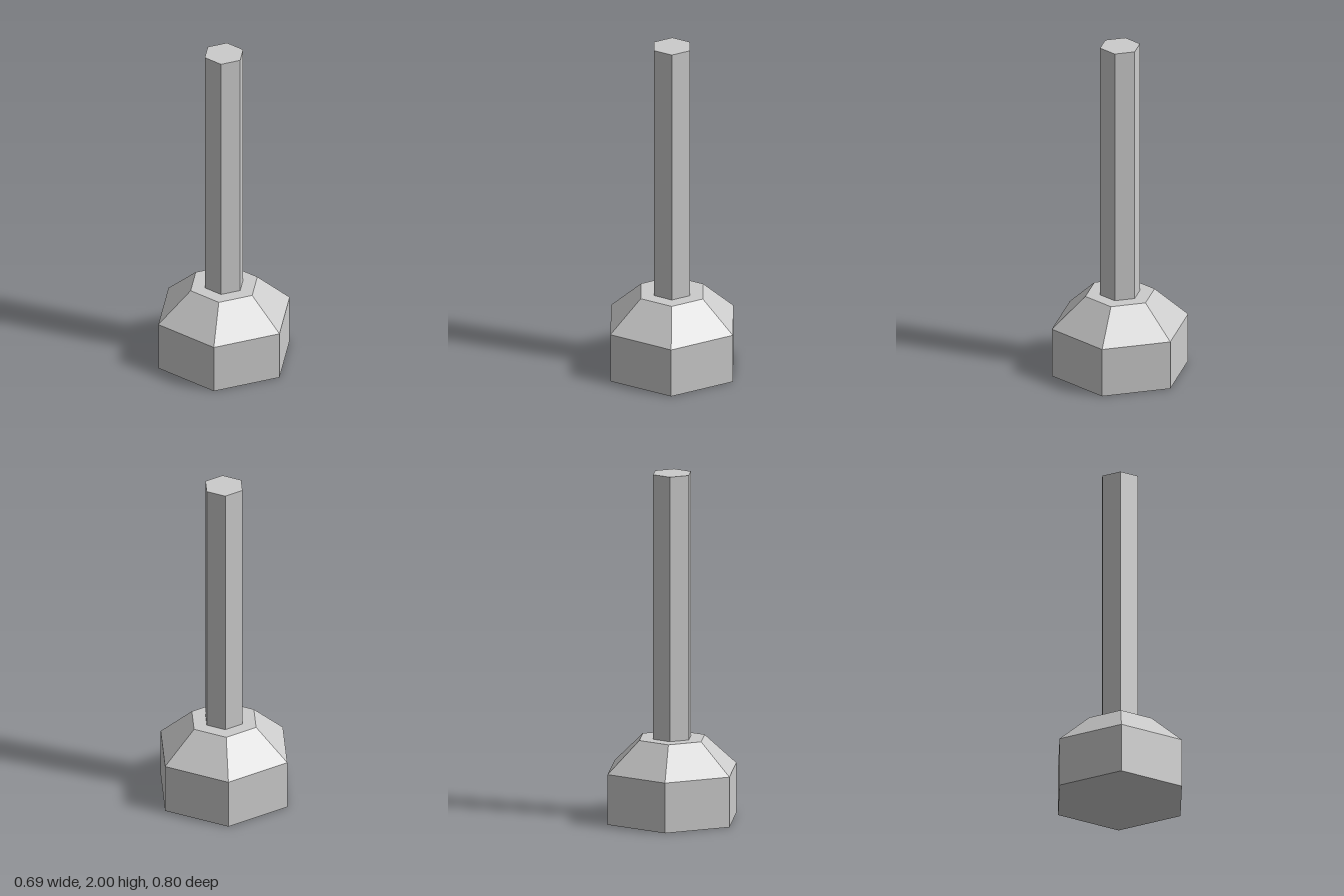
import * as THREE from 'three';

const SIDES = 6;
const SHAFT_RADIUS = 0.117;
const BASE_HEIGHT = 0.29;
const SHOULDER_TOP = 0.47;

export function createModel() {
  const group = new THREE.Group();
  const material = new THREE.MeshStandardMaterial({ color: 0xcccccc, flatShading: true });

  // Six-sided solid turned from an [radius, height] profile, corners on the z axis
  const addHexPart = (name, profile) => {
    const points = profile.map(([r, y]) => new THREE.Vector2(r, y));
    const mesh = new THREE.Mesh(new THREE.LatheGeometry(points, SIDES), material);
    mesh.name = name;
    group.add(mesh);
  };

  // Head: closed underside and upright walls
  addHexPart('head', [[0, 0], [0.4, 0], [0.4, BASE_HEIGHT]]);

  // Shoulder: sloping faces and the flat ledge around the shaft
  addHexPart('shoulder', [[0.4, BASE_HEIGHT], [0.203, SHOULDER_TOP], [SHAFT_RADIUS, SHOULDER_TOP]]);

  // Shaft: long rod with a flat end
  addHexPart('shaft', [[SHAFT_RADIUS, SHOULDER_TOP], [SHAFT_RADIUS, 2], [0, 2]]);

  return group;
}
